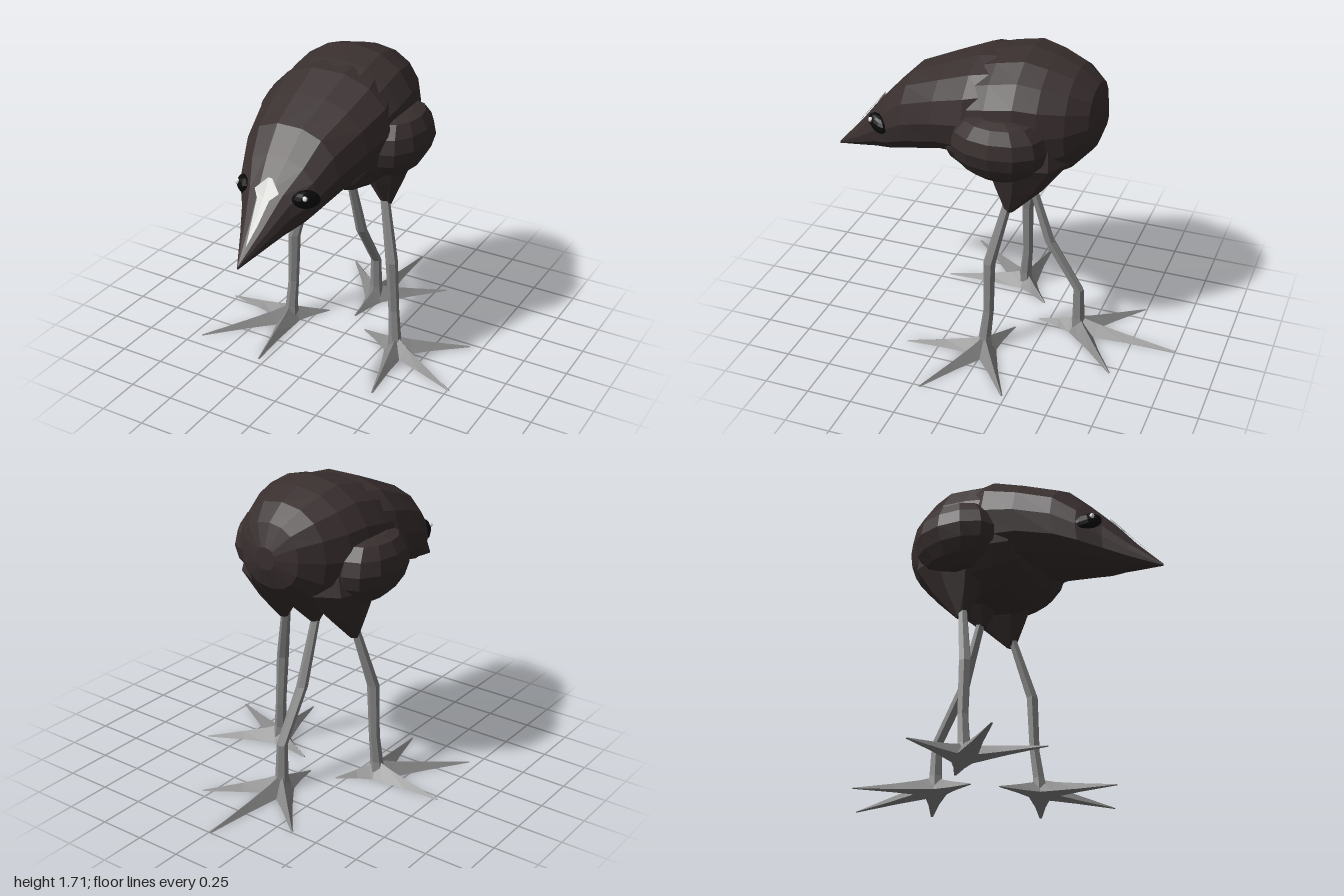
import * as THREE from 'three';

const mat = (name, color) => new THREE.MeshStandardMaterial({ name, color, flatShading: true });
const MID = -0.03; // centre line of the body

// Skin through equal-sized rings of [x, y, z], capped at both ends
function loft(rings) {
  const pos = [];
  const n = rings[0].length;
  const tri = (a, b, c) => pos.push(...a, ...b, ...c);
  const centre = (r) => [0, 1, 2].map((k) => r.reduce((s, p) => s + p[k], 0) / n);
  const first = rings[0], last = rings[rings.length - 1];
  for (let j = 0; j < n; j++) {
    const k = (j + 1) % n;
    for (let i = 0; i < rings.length - 1; i++) {
      const a = rings[i], b = rings[i + 1];
      tri(a[j], a[k], b[k]);
      tri(a[j], b[k], b[j]);
    }
    tri(centre(first), first[k], first[j]);
    tri(centre(last), last[j], last[k]);
  }
  const g = new THREE.BufferGeometry();
  g.setAttribute('position', new THREE.Float32BufferAttribute(pos, 3));
  g.computeVertexNormals();
  return g;
}

// Upright ring facing z, from [z, bottom, top, halfWidth]
function bodyRing([z, bottom, top, hw], sides = 16) {
  const soft = (v) => Math.sign(v) * Math.abs(v) ** 0.9;
  return Array.from({ length: sides }, (_, j) => {
    const a = (j / sides) * Math.PI * 2;
    return [MID + hw * soft(Math.cos(a)), (top + bottom) / 2 + ((top - bottom) / 2) * soft(Math.sin(a)), z];
  });
}

// Level ring facing y
function levelRing([x, y, z, rx, rz = rx], sides = 6) {
  return Array.from({ length: sides }, (_, j) => {
    const a = (j / sides) * Math.PI * 2;
    return [x + rx * Math.sin(a), y, z + rz * Math.cos(a)];
  });
}

const BODY = [
  [-0.54, 1.31, 1.43, 0.06], [-0.5, 1.2, 1.55, 0.18], [-0.4, 1.09, 1.63, 0.275],
  [-0.27, 1.02, 1.68, 0.34], [-0.15, 0.99, 1.71, 0.37], [0.0, 0.98, 1.68, 0.375],
  [0.13, 0.99, 1.64, 0.36], [0.24, 1.04, 1.55, 0.3], [0.31, 1.12, 1.4, 0.15],
];
const HEAD = [
  [0.02, 1.12, 1.67, 0.33], [0.12, 1.09, 1.66, 0.365], [0.3, 1.09, 1.585, 0.33],
  [0.5, 1.04, 1.5, 0.275], [0.62, 1.01, 1.38, 0.225], [0.73, 0.985, 1.26, 0.145],
  [0.85, 0.96, 1.11, 0.08], [1.0, 0.93, 0.945, 0.004],
];

// Height of the head's upper surface at depth z and offset x
function headTop(z, x) {
  let i = 0;
  while (i < HEAD.length - 2 && HEAD[i + 1][0] < z) i++;
  const t = (z - HEAD[i][0]) / (HEAD[i + 1][0] - HEAD[i][0]);
  const [, b, top, hw] = HEAD[i].map((v, k) => v + (HEAD[i + 1][k] - v) * t);
  return (top + b) / 2 + ((top - b) / 2) * Math.sqrt(Math.max(0, 1 - (x / hw) ** 2));
}

export function createModel() {
  const plumage = mat('darkPlumage', 0x392f2f);
  const grey = mat('legGrey', 0x878787);
  const black = mat('eyeBlack', 0x0a0a0a);
  const white = mat('eyeGlint', 0xffffff);
  const pale = mat('paleBeak', 0xc9c9c6);
  pale.side = THREE.DoubleSide;

  const model = new THREE.Group();
  const add = (name, geometry, material, parent = model) => {
    const mesh = new THREE.Mesh(geometry, material);
    mesh.name = name;
    parent.add(mesh);
    return mesh;
  };

  add('body', loft(BODY.map((s) => bodyRing(s))), plumage);
  add('headAndBeak', loft(HEAD.map((s) => bodyRing(s, 14))), plumage);

  // Pale blaze lying on the beak ridge
  const rows = [[0.7, 0.012], [0.735, 0.07], [0.77, 0.035], [0.85, 0.02], [0.93, 0.001]];
  const strip = [], index = [];
  rows.forEach(([z, hw], i) => {
    for (const s of [-1, 0, 1]) strip.push(MID + 0.01 + s * hw, headTop(z, s * hw) + 0.008, z + 0.004);
    if (i) for (const k of [0, 1]) {
      const a = (i - 1) * 3 + k, b = i * 3 + k;
      index.push(a, b, b + 1, a, b + 1, a + 1);
    }
  });
  const blaze = new THREE.BufferGeometry();
  blaze.setAttribute('position', new THREE.Float32BufferAttribute(strip, 3));
  blaze.setIndex(index);
  blaze.computeVertexNormals();
  add('beakBlaze', blaze, pale);

  for (const s of [-1, 1]) {
    const side = s > 0 ? 'left' : 'right';

    // Folded wing: rounded bulge with a flattened top
    const wingGeo = new THREE.SphereGeometry(1, 12, 8);
    const p = wingGeo.attributes.position;
    for (let i = 0; i < p.count; i++) {
      const y = p.getY(i);
      p.setXYZ(i, p.getX(i) * (y < 0 ? 1 + 0.2 * y : 1), Math.min(y, 0.8), p.getZ(i));
    }
    wingGeo.scale(0.17, 0.2, 0.26);
    add(side + 'Wing', wingGeo, plumage).position.set(MID + s * 0.32, 1.28, -0.07);

    // Feathered thigh tapering to the leg
    add(side + 'Thigh', loft([
      levelRing([MID + s * 0.235, 0.85, -0.1, 0.025], 8),
      levelRing([MID + s * 0.215, 1.0, -0.14, 0.1, 0.14], 8),
      levelRing([MID + s * 0.2, 1.17, -0.17, 0.175, 0.24], 8),
      levelRing([MID + s * 0.18, 1.3, -0.17, 0.16, 0.22], 8),
    ]), plumage);

    // Eye following the slope of the cheek, with a glint
    const eye = new THREE.Group();
    eye.name = side + 'Eye';
    eye.position.set(MID + 0.01 + s * 0.18, 1.21, 0.665);
    eye.rotation.y = -s * 0.6;
    model.add(eye);
    const ball = add('eyeball', new THREE.SphereGeometry(1, 10, 8), black, eye);
    ball.scale.set(0.038, 0.048, 0.078);
    ball.rotation.x = -0.25;
    const glint = add('glint', new THREE.SphereGeometry(0.014, 6, 5), white, eye);
    glint.position.set(s * 0.033, 0.022, 0.022);
  }

  add('rearThigh', loft([
    levelRing([MID, 0.89, -0.13, 0.025], 8),
    levelRing([MID, 1.1, -0.2, 0.17, 0.19], 8),
  ]), plumage);

  // Legs: path points bottom-up as [x, y, z, radius]; toe tips as [x, z], hind toe last
  const legs = [
    {
      name: 'rightLeg',
      path: [[-0.36, 0.0, 0.0, 0.05], [-0.355, 0.09, 0.0, 0.035], [-0.347, 0.25, -0.015, 0.03],
        [-0.335, 0.55, -0.015, 0.034], [-0.262, 0.9, -0.09, 0.025]],
      toes: [[-0.77, -0.03], [-0.7, 0.42], [-0.29, 0.46], [-0.2, -0.17]],
    },
    {
      name: 'leftLeg',
      path: [[0.33, 0.0, 0.0, 0.05], [0.32, 0.09, 0.0, 0.035], [0.303, 0.25, -0.015, 0.03],
        [0.285, 0.55, -0.015, 0.034], [0.196, 0.9, -0.09, 0.025]],
      toes: [[0.68, -0.23], [0.76, 0.21], [0.41, 0.43], [0.08, -0.09]],
    },
    {
      name: 'rearLeg',
      path: [[-0.03, 0.0, -0.43, 0.05], [-0.03, 0.09, -0.43, 0.036], [-0.03, 0.27, -0.425, 0.03],
        [-0.033, 0.55, -0.25, 0.032], [-0.038, 0.92, -0.13, 0.024]],
      toes: [[-0.34, -0.74], [-0.01, -1.0], [0.3, -0.71], [-0.04, -0.19]],
    },
  ];
  const toeRing = (z, w, h) => [[w, 0, z], [0, h, z], [-w, 0, z]];
  for (const { name, path, toes } of legs) {
    const leg = new THREE.Group();
    leg.name = name;
    model.add(leg);
    add('shank', loft(path.map((q) => levelRing(q))), grey, leg);
    const [fx, , fz] = path[0];
    for (const [tx, tz] of toes) {
      const dx = tx - fx, dz = tz - fz, len = Math.hypot(dx, dz);
      const toe = add('toe', loft([
        toeRing(0, 0.065, 0.09), toeRing(len * 0.2, 0.05, 0.065),
        toeRing(len * 0.5, 0.028, 0.04), toeRing(len, 0.006, 0.004),
      ]), grey, leg);
      toe.position.set(fx, 0, fz);
      toe.rotation.y = Math.atan2(dx, dz);
    }
  }
  return model;
}
